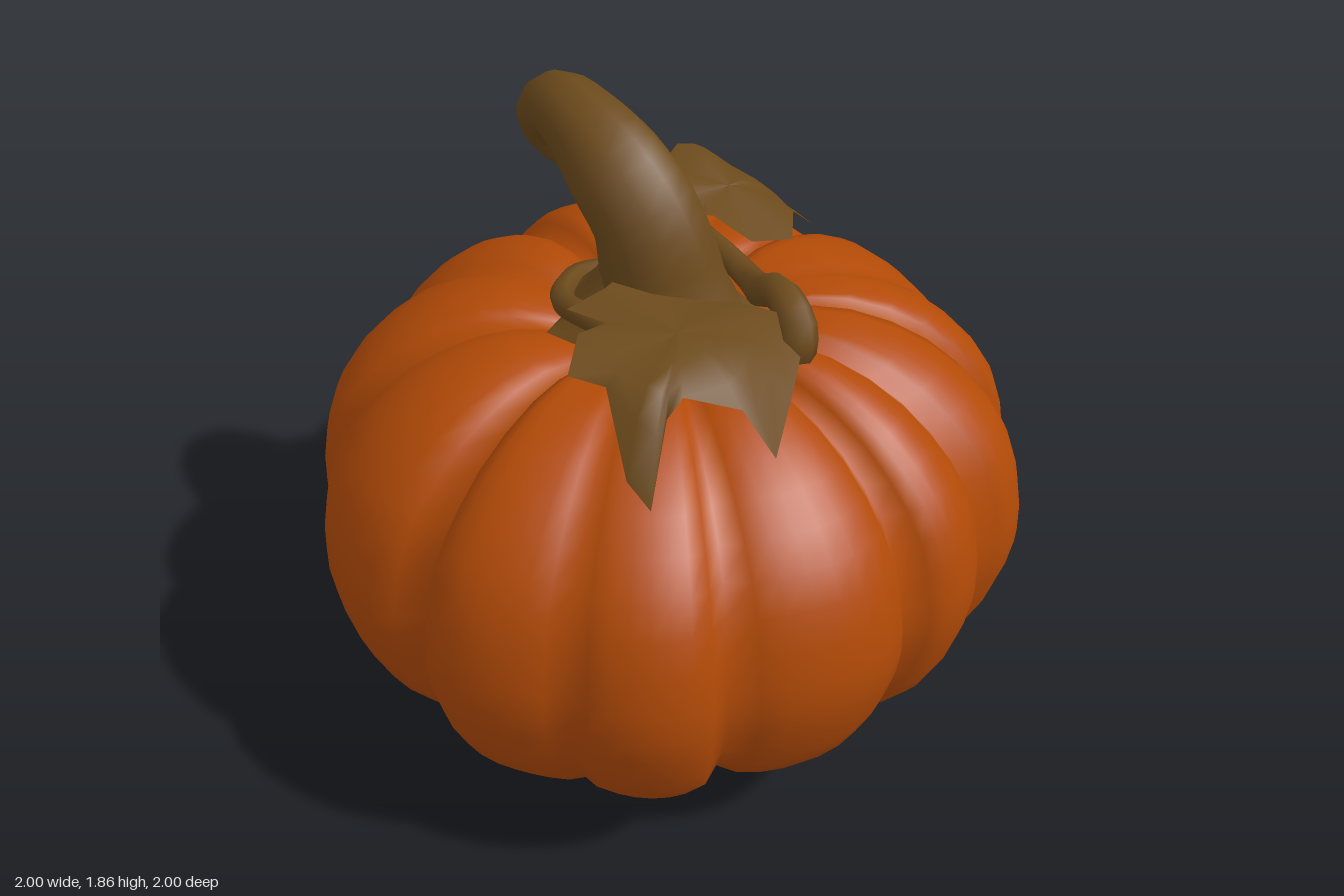
import * as THREE from 'three';

const orange = new THREE.MeshStandardMaterial({ color: 0xb24a07 });
orange.name = 'pumpkin orange';
const brown = new THREE.MeshStandardMaterial({ color: 0x6c4a1c, side: THREE.DoubleSide });
brown.name = 'stem brown';

const V = (x, y, z) => new THREE.Vector3(x, y, z);
const lerp = THREE.MathUtils.lerp;

// Smooth surface closed around u, over nu x nv cells; the front faces along dv x du.
function loopGrid(nu, nv, point) {
  const pos = [], index = [];
  for (let j = 0; j <= nv; j++)
    for (let i = 0; i < nu; i++) pos.push(...point(i, j).toArray());
  for (let j = 0; j < nv; j++)
    for (let i = 0; i < nu; i++) {
      const a = j * nu + i, c = j * nu + ((i + 1) % nu);
      index.push(a, a + nu, c, c, a + nu, c + nu);
    }
  const g = new THREE.BufferGeometry();
  g.setAttribute('position', new THREE.Float32BufferAttribute(pos, 3));
  g.setIndex(index);
  g.computeVertexNormals();
  return g;
}

// Tube whose radius follows a list matching the path points, pinched shut at the end.
function taperedTube(points, radii, sides, rows) {
  const curve = new THREE.CatmullRomCurve3(points.map(p => V(...p)));
  const { normals, binormals } = curve.computeFrenetFrames(rows, false);
  return loopGrid(sides, rows + 1, (i, j) => {
    const k = Math.min(j, rows);
    const t = curve.getUtoTmapping(k / rows) * (radii.length - 1);
    const n = Math.min(Math.floor(t), radii.length - 2);
    const r = j > rows ? 0 : lerp(radii[n], radii[n + 1], t - n);
    const a = i / sides * Math.PI * 2;
    return curve.getPointAt(k / rows)
      .addScaledVector(normals[k], r * Math.cos(a))
      .addScaledVector(binormals[k], -r * Math.sin(a));
  });
}

// Ragged, gently pleated leaf: rings from a centre to an x/z outline, draped by a height rule.
function leaf(cx, cz, outline, height) {
  const rings = 5;
  return loopGrid(outline.length, rings, (i, j) => {
    const v = j / rings;
    const x = lerp(cx, outline[i][0], v), z = lerp(cz, outline[i][1], v);
    const pleat = .012 * v * Math.cos(5 * Math.atan2(outline[i][1] - cz, outline[i][0] - cx));
    return V(x, height(x, z) + pleat, z);
  });
}

// Uneven ribs: groove angle in degrees, groove radius, radius of the rib after it
const ribs = [
  [-2, .91, 1.02], [29, 1.0, 1.055], [46.7, .95, 1.06], [70.6, .96, 1.01], [91, .9, 1.01],
  [126.4, .94, 1.045], [151, .985, 1.03], [180, .9, 1.0], [221, .93, 1.0], [255.5, .95, 1.005],
  [283, .91, 1.03], [315, .93, 1.015], [335, .965, .98],
];
const profile = new THREE.SplineCurve([
  [0, .13], [.1, .11], [.24, .035], [.4, .032], [.58, .09], [.77, .19], [.91, .35], [.985, .56],
  [.995, .72], [.95, .92], [.85, 1.07], [.69, 1.2], [.48, 1.275], [.3, 1.26], [.15, 1.21], [0, 1.18],
].map(p => new THREE.Vector2(...p))).getPoints(28);

// Ribbed body, a little fuller towards its left and back
function bodyGeometry() {
  const steps = 8, mid = .65;
  return loopGrid(ribs.length * steps, profile.length - 1, (i, j) => {
    const k = Math.floor(i / steps), t = (i % steps) / steps;
    const [a0, r0, peak] = ribs[k];
    const [a1, r1] = k + 1 < ribs.length ? ribs[k + 1] : [ribs[0][0] + 360, ribs[0][1]];
    const a = THREE.MathUtils.degToRad(lerp(a0, a1, t));
    const r = lerp(lerp(r0, r1, t), peak, Math.pow(Math.sin(Math.PI * t), .55));
    const p = profile[j];
    const x = p.x * r * Math.cos(a), z = p.x * r * Math.sin(a);
    const rise = (p.y - mid) * (1 - .9 * Math.max(0, 1.01 - r));
    const fuller = rise > 0
      ? .045 * Math.max(0, x)
      : .1 * THREE.MathUtils.clamp(Math.max(x, -.3 * x) - z, 0, 1.2) ** 2;
    return V(x, mid + rise * (1 + fuller / mid), z);
  });
}

export function createModel() {
  const model = new THREE.Group();
  const add = (name, geometry, material) => {
    const mesh = new THREE.Mesh(geometry, material);
    mesh.name = name;
    model.add(mesh);
    return mesh;
  };

  add('body', bodyGeometry(), orange);

  // Blossom scar in the hollow underneath
  const scar = new THREE.CircleGeometry(.12, 10).rotateX(Math.PI / 2);
  add('blossomScar', scar, brown).position.y = .095;

  // Thick stem bending back and curling at the tip
  add('stem', taperedTube([
    [.01, 1.2, .03], [0, 1.38, .02], [-.02, 1.56, -.02], [-.03, 1.68, -.12], [-.01, 1.755, -.27],
    [.04, 1.74, -.41], [.09, 1.65, -.5], [.14, 1.56, -.465], [.16, 1.55, -.37], [.16, 1.6, -.32],
  ], [.25, .175, .155, .145, .11, .095, .085, .075, .065, .045], 10, 26), brown);

  // Pointed sepals spreading from the stem foot
  add('sepals', loopGrid(14, 3, (i, j) => {
    const r = [.13, .18, .23, i % 2 ? .24 : .31][j];
    const y = [1.42, 1.34, 1.29, i % 2 ? 1.24 : 1.26][j];
    const a = -i / 14 * Math.PI * 2;
    return V(r * Math.cos(a), y, r * Math.sin(a) - .02);
  }), brown);

  // Vine humping forward, then looping round the stem
  add('vine', taperedTube([
    [.36, 1.38, -.16], [.3, 1.36, -.12], [.27, 1.33, .02], [.23, 1.32, .14], [.17, 1.35, .23],
    [.13, 1.4, .33], [.09, 1.35, .42], [.08, 1.27, .42], [.07, 1.26, .34], [.06, 1.29, .25],
    [-.1, 1.3, .24], [-.21, 1.34, .12], [-.235, 1.34, -.05], [-.17, 1.3, -.2], [-.04, 1.28, -.27],
    [.1, 1.26, -.24],
  ], [.02, .03, .035, .04, .048, .05, .055, .055, .045, .035, .035, .035, .035, .035, .035, .03], 7, 56), brown);

  // Short stalk of the right leaf
  add('leafStalk', taperedTube([
    [-.2, 1.34, .13], [-.23, 1.43, .15], [-.3, 1.48, .2],
  ], [.03, .025, .015], 6, 6), brown);

  // Large leaf on the front right, curling down at its outer lobes
  add('rightLeaf', leaf(-.31, .35, [
    [-.25, .07], [-.29, .08], [-.41, .06], [-.39, .18], [-.49, .18], [-.61, .26], [-.57, .35],
    [-.66, .5], [-.65, .57], [-.55, .53], [-.48, .52], [-.34, .59], [-.3, .67], [-.17, .61],
    [-.05, .54], [-.06, .49], [.01, .41], [-.04, .32], [-.1, .23], [-.2, .17],
  ], (x, z) => 1.51 - 8 * Math.max(0, z - .36) ** 3 - .25 * Math.max(0, x + .3)
    - 22 * Math.max(0, -x - .5) ** 2 * Math.max(0, z - .2)), brown);

  // Smaller leaf on the left, arching down over the shoulder
  add('leftLeaf', leaf(.5, -.17, [
    [.25, -.24], [.25, -.33], [.38, -.33], [.42, -.37], [.53, -.4], [.57, -.37], [.62, -.37],
    [.63, -.32], [.7, -.33], [.76, -.22], [.73, -.14], [.68, -.13], [.69, -.06], [.67, .02],
    [.57, .02], [.48, .09], [.37, .03], [.35, -.1], [.3, -.18],
  ].reverse(), (x, z) => 1.415 - 3.6 * Math.max(0, x - .52) ** 2 - .25 * Math.max(0, z + .3)), brown);

  return model;
}
